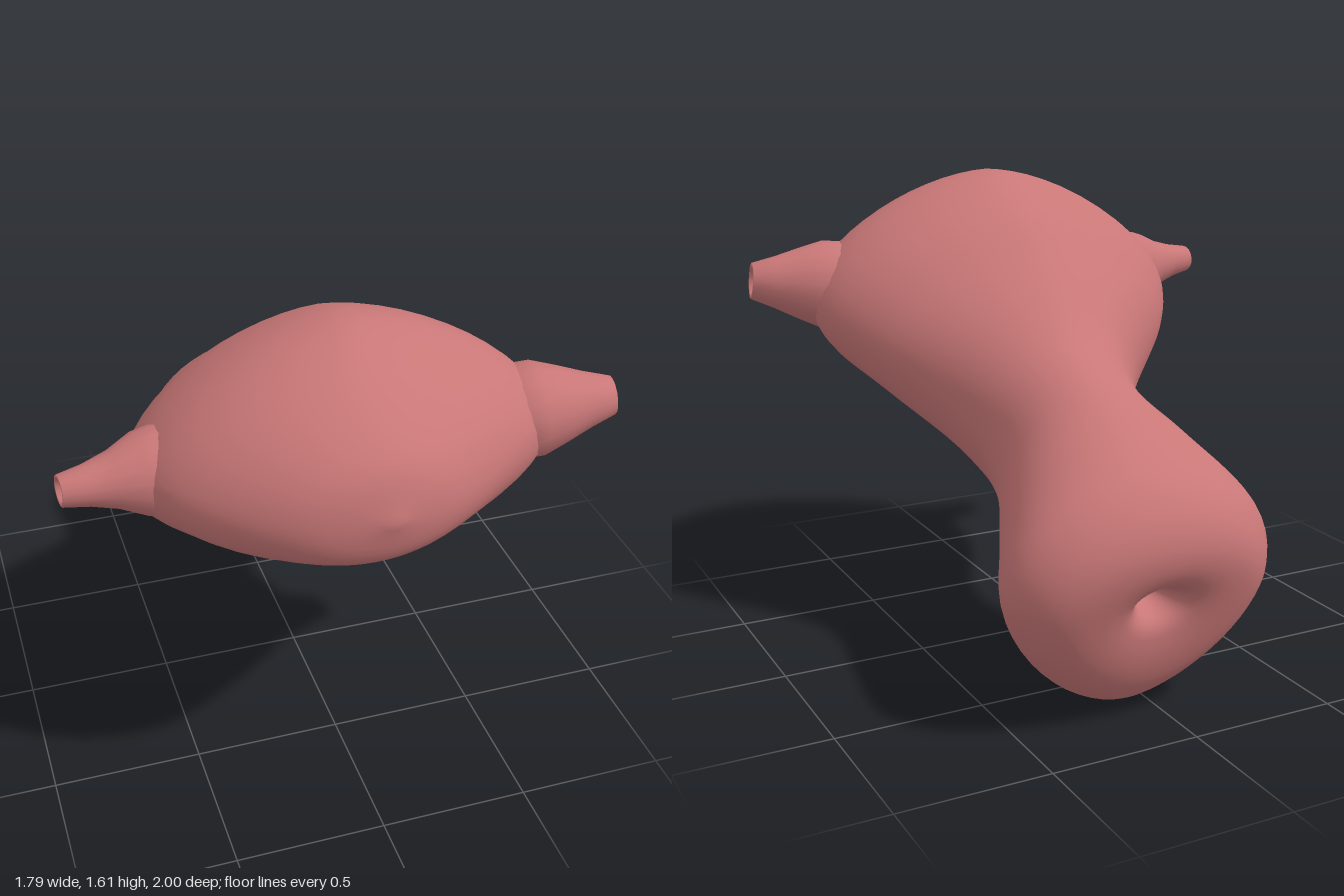
import * as THREE from 'three';
import { mergeVertices } from 'three/addons/utils/BufferGeometryUtils.js';

// Cross-sections from the rear opening to the front dome:
// top [z, y], bottom [z, y], sides [x min, x max], roundness [upper, lower] (2 = ellipse)
const SECTIONS = [
  [[-0.70, 0.43], [-0.70, 0.43], [0.08, 0.08], [2, 2]],
  [[-0.90, 0.46], [-0.86, 0.35], [0, 0.16], [2, 2]],
  [[-0.975, 0.51], [-0.875, 0.25], [-0.09, 0.25], [2, 2]],
  [[-1, 0.61], [-0.82, 0.11], [-0.24, 0.4], [2, 1.75]],
  [[-0.965, 0.725], [-0.72, 0.02], [-0.33, 0.5], [2, 1.65]],
  [[-0.86, 0.835], [-0.6, 0], [-0.375, 0.545], [2, 1.6]],
  [[-0.65, 0.935], [-0.42, 0.18], [-0.3, 0.45], [2, 1.85]],
  [[-0.42, 1.02], [-0.15, 0.43], [-0.22, 0.34], [2, 2]],
  [[-0.25, 1.115], [0.05, 0.58], [-0.29, 0.385], [1.95, 2.1]],
  [[-0.02, 1.33], [0.3, 0.77], [-0.55, 0.58], [1.75, 2.4]],
  [[0.18, 1.5], [0.5, 0.87], [-0.665, 0.69], [1.65, 2.4]],
  [[0.44, 1.6], [0.68, 0.925], [-0.65, 0.67], [1.6, 2.1]],
  [[0.69, 1.55], [0.82, 0.97], [-0.53, 0.48], [1.75, 2]],
  [[0.92, 1.38], [0.95, 1.05], [-0.28, 0.22], [2, 2]],
  [[0.995, 1.2], [0.995, 1.2], [0, 0], [2, 2]],
];

const smoothCurve = (column) =>
  new THREE.CatmullRomCurve3(
    SECTIONS.map((s) => new THREE.Vector3(...s[column], 0)), false, 'catmullrom', 0.5
  );

// Loft of rounded rings, smoothly interpolated between the sections
function bodyGeometry(rows = 98, around = 56) {
  const curves = [0, 1, 2, 3].map(smoothCurve);
  const positions = [];
  const indices = [];
  const power = (v, n) => Math.sign(v) * Math.pow(Math.abs(v), 2 / n);
  for (let r = 0; r <= rows; r++) {
    const t = r / rows;
    const [top, bottom, side, round] = curves.map((c) => c.getPoint(t));
    // The widest level sits high on the rear bulb and low on the front body
    const level = 0.5 + 0.09 * Math.sin(t * Math.PI * 2);
    for (let i = 0; i < around; i++) {
      const a = (i / around) * Math.PI * 2;
      const n = Math.sin(a) >= 0 ? round.x : round.y;
      const u = power(Math.cos(a), n);
      const v = power(Math.sin(a), n);
      const h = level + v * (v >= 0 ? 1 - level : level);
      positions.push(
        (side.x + side.y) / 2 + (u * (side.y - side.x)) / 2,
        THREE.MathUtils.lerp(bottom.y, top.y, h),
        THREE.MathUtils.lerp(bottom.x, top.x, h)
      );
      if (r < rows) {
        const j = (i + 1) % around;
        const p = r * around;
        const q = p + around;
        indices.push(p + i, p + j, q + i, p + j, q + j, q + i);
      }
    }
  }
  let g = new THREE.BufferGeometry();
  g.setAttribute('position', new THREE.Float32BufferAttribute(positions, 3));
  g.setIndex(indices);
  g = mergeVertices(g, 1e-5);
  g.computeVertexNormals();
  return g;
}

// Tapering hollow tube; radii are spaced evenly from base to tip
function tubeStub(name, base, tip, radii, material) {
  const from = new THREE.Vector3(...base);
  const axis = new THREE.Vector3(...tip).sub(from);
  const len = axis.length();
  const end = radii[radii.length - 1];
  const outer = radii.map((r, i) => new THREE.Vector2(r, (len * i) / (radii.length - 1)));
  const bore = [[end * 0.75, len], [end * 0.55, len * 0.85], [0, len * 0.75]].map((p) => new THREE.Vector2(...p));
  const mesh = new THREE.Mesh(new THREE.LatheGeometry([...outer, ...bore], 16), material);
  mesh.name = name;
  mesh.position.copy(from);
  mesh.quaternion.setFromUnitVectors(new THREE.Vector3(0, 1, 0), axis.normalize());
  return mesh;
}

export function createModel() {
  const group = new THREE.Group();
  group.name = 'organ';
  const material = new THREE.MeshStandardMaterial({ color: 0xc97777, side: THREE.DoubleSide });

  // Wide front body, narrow neck and rear bulb with its dimpled opening
  const body = new THREE.Mesh(bodyGeometry(), material);
  body.name = 'body';
  group.add(body);

  // Side tubes
  group.add(
    tubeStub('leftTube', [0.48, 1.2, 0.52], [0.885, 1.24, 0.58], [0.11, 0.155, 0.155, 0.125, 0.092, 0.064], material),
    tubeStub('rightTube', [-0.48, 1.19, 0.49], [-0.89, 1.2, 0.54], [0.12, 0.145, 0.13, 0.09, 0.065, 0.05], material)
  );
  return group;
}
